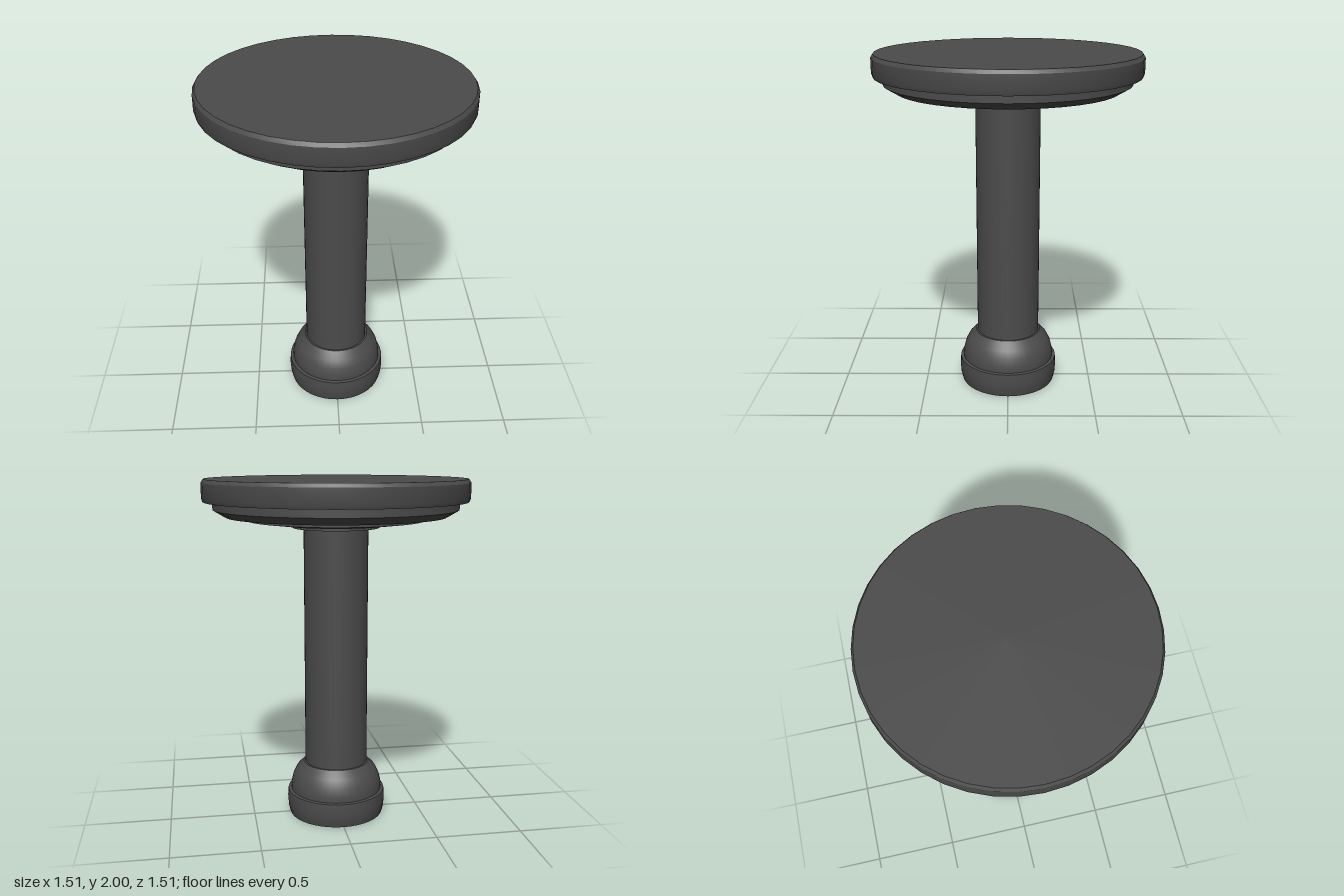
import * as THREE from 'three';
import { toCreasedNormals } from 'three/addons/utils/BufferGeometryUtils.js';

const SIDES = 40;

export function createModel() {
  const group = new THREE.Group();
  const darkGrey = new THREE.MeshStandardMaterial({ color: 0x4b4b4b, side: THREE.DoubleSide });
  darkGrey.name = 'darkGrey';

  // Turned part: profile of [radius, height] listed from bottom to top
  function turned(name, profile) {
    const points = profile.map(([r, y]) => new THREE.Vector2(r, y));
    const geometry = toCreasedNormals(new THREE.LatheGeometry(points, SIDES), 0.5);
    const mesh = new THREE.Mesh(geometry, darkGrey);
    mesh.name = name;
    group.add(mesh);
  }

  // Hollow foot ring, open underneath
  turned('footRing', [
    [0.28, 0], [0.29, 0.04], [0.294, 0.09], [0.29, 0.145], [0.272, 0.148],
  ]);

  // Domed collar between foot and column
  turned('footDome', [
    [0.272, 0.148], [0.272, 0.18], [0.26, 0.23], [0.238, 0.275], [0.195, 0.32], [0.183, 0.32],
  ]);

  turned('column', [[0.185, 0.32], [0.185, 1.74]]);

  // Stepped underside of the seat
  turned('mountingRing', [[0.185, 1.72], [0.246, 1.72], [0.246, 1.737]]);
  turned('seatPan', [
    [0.246, 1.737], [0.34, 1.742], [0.5, 1.762], [0.5, 1.777],
    [0.627, 1.785], [0.695, 1.825], [0.695, 1.868],
  ]);

  // Round seat slab with a bevelled rim
  turned('seat', [
    [0.695, 1.868], [0.748, 1.87], [0.755, 1.89], [0.755, 1.975], [0.742, 1.995], [0, 1.995],
  ]);

  return group;
}
